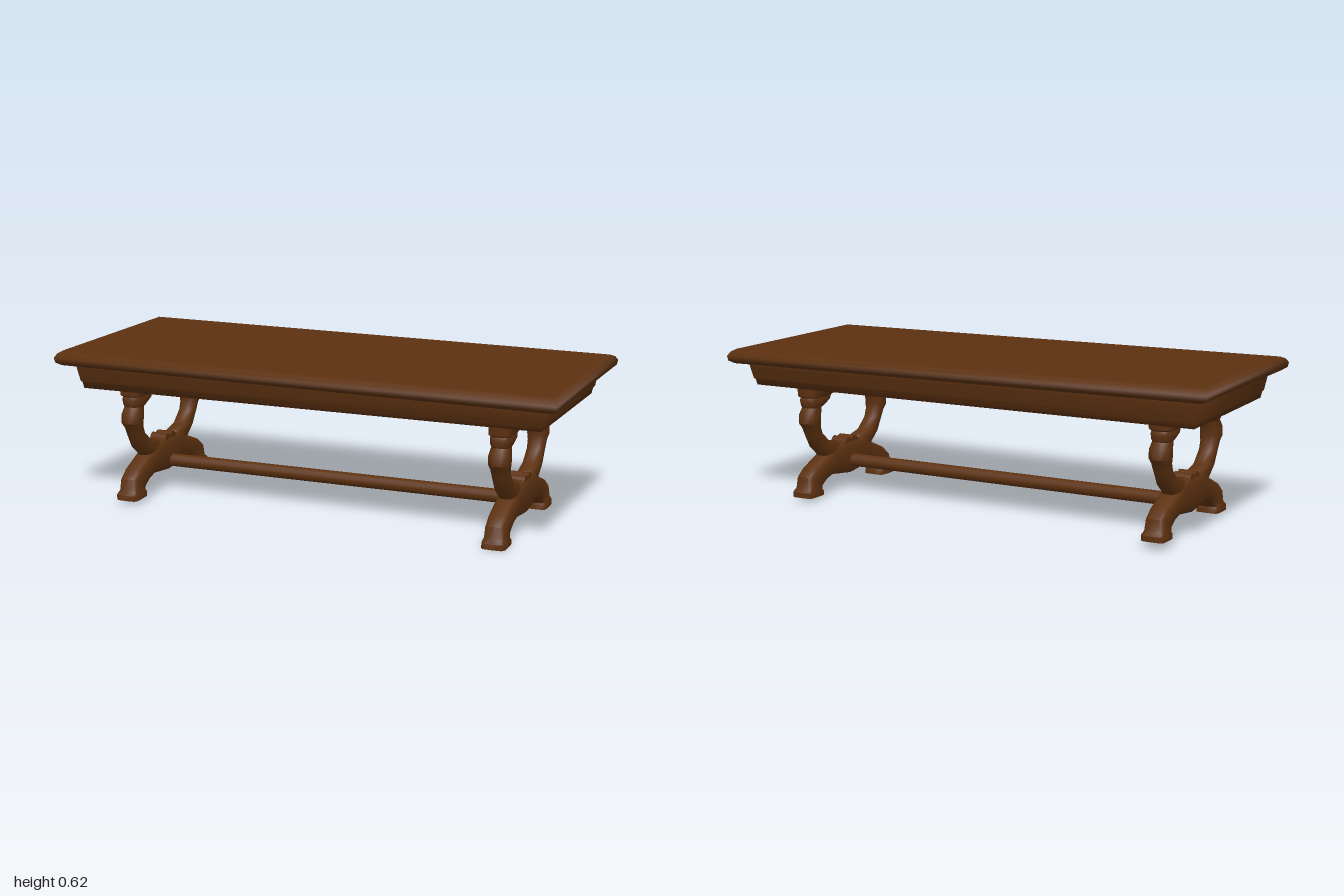
import * as THREE from 'three';
import { toCreasedNormals } from 'three/addons/utils/BufferGeometryUtils.js';

// Skin a stack of equal rings (counter-clockwise about the direction of travel) and cap both ends
function loft(rings) {
  const n = rings[0].length, last = (rings.length - 1) * n, index = [];
  for (let r = 0; r < rings.length - 1; r++) {
    for (let i = 0; i < n; i++) {
      const a = r * n + i, b = r * n + (i + 1) % n;
      index.push(a, b, b + n, a, b + n, a + n);
    }
  }
  for (let i = 1; i < n - 1; i++) {
    index.push(0, i + 1, i, last, last + i, last + i + 1);
  }
  const geo = new THREE.BufferGeometry();
  geo.setAttribute('position', new THREE.Float32BufferAttribute(rings.flat(2), 3));
  geo.setIndex(index);
  geo.computeVertexNormals();
  return geo;
}

// Rectangular ring for the top; tilt makes the slab lean slightly
function rectRing([hx, hz, y, tilt]) {
  return [[1, 1], [1, -1], [-1, -1], [-1, 1]].map(([sx, sz]) => {
    const x = sx * hx, z = sz * (hz + 0.004 * sx);
    return [x, y - tilt * (0.0075 * x + 0.008 * z), z];
  });
}

// Rounded-square section between an outer and an inner edge point in the z-y plane
function sectionRing([oz, oy, iz, iy, halfWidth, power]) {
  const ring = [], N = 16;
  const soft = v => Math.sign(v) * Math.pow(Math.abs(v), power);
  for (let k = 0; k < N; k++) {
    const t = (k / N) * Math.PI * 2;
    const c = soft(Math.cos(t)), s = soft(Math.sin(t));
    ring.push([halfWidth * s, (oy + iy) / 2 + c * (oy - iy) / 2, (oz + iz) / 2 + c * (oz - iz) / 2]);
  }
  return ring;
}

// Lean the lower frame so the front feet sit a little lower
function lean(geo) {
  const p = geo.attributes.position;
  for (let i = 0; i < p.count; i++) {
    const fade = THREE.MathUtils.clamp((0.46 - p.getY(i)) / 0.4, 0, 1);
    p.setY(i, p.getY(i) - 0.023 * p.getZ(i) * fade);
  }
  return toCreasedNormals(geo, 0.75);
}

// Stations: outer z, outer y, inner z, inner y, half width, corner softness
const FOOT = [
  [0.316, 0.009, 0.21, 0.009, 0.046, 0.35],
  [0.316, 0.03, 0.21, 0.025, 0.046, 0.35],
  [0.302, 0.045, 0.212, 0.034, 0.042, 0.5],
  [0.296, 0.09, 0.203, 0.043, 0.041, 0.6],
  [0.256, 0.122, 0.17, 0.062, 0.041, 0.6],
  [0.165, 0.16, 0.13, 0.073, 0.042, 0.6],
  [0.1, 0.195, 0.09, 0.067, 0.043, 0.6],
];
const HUB = [0, 0.202, 0, 0.056, 0.045, 0.6];
const ARM = [
  [0.13, 0.11, 0.03, 0.15, 0.036, 0.8],
  [0.165, 0.15, 0.07, 0.203, 0.037, 0.8],
  [0.222, 0.198, 0.13, 0.213, 0.035, 0.8],
  [0.252, 0.255, 0.185, 0.255, 0.034, 0.8],
  [0.266, 0.285, 0.2, 0.285, 0.036, 0.8],
  [0.284, 0.305, 0.202, 0.308, 0.041, 0.8],
  [0.283, 0.34, 0.199, 0.336, 0.041, 0.8],
  [0.265, 0.368, 0.188, 0.366, 0.035, 0.8],
  [0.268, 0.375, 0.18, 0.37, 0.038, 0.7],
  [0.271, 0.398, 0.138, 0.39, 0.042, 0.6],
  [0.266, 0.408, 0.128, 0.408, 0.039, 0.5],
  [0.275, 0.414, 0.118, 0.414, 0.044, 0.4],
  [0.28, 0.475, 0.118, 0.475, 0.044, 0.4],
];

export function createModel() {
  const model = new THREE.Group();
  model.name = 'trestleTable';
  const wood = new THREE.MeshStandardMaterial({ color: 0x5c3110 });
  wood.name = 'darkBrownWood';
  const add = (parent, name, geo) => {
    const mesh = new THREE.Mesh(geo, wood);
    mesh.name = name;
    parent.add(mesh);
    return mesh;
  };

  // Tabletop slab with a moulded edge: half length, half depth, height, tilt
  add(model, 'tabletop', loft([
    [0.975, 0.405, 0.556, 1], [0.994, 0.421, 0.568, 1], [0.998, 0.423, 0.586, 1],
    [0.99, 0.408, 0.602, 1], [0.975, 0.388, 0.611, 1],
  ].map(rectRing)));

  // Stepped apron with a level underside
  add(model, 'apron', loft([
    [0.92, 0.335, 0.461, 0], [0.925, 0.339, 0.484, 0.2], [0.93, 0.345, 0.49, 0.4],
    [0.938, 0.355, 0.535, 1], [0.942, 0.359, 0.562, 1],
  ].map(rectRing)));

  // One trestle at each end
  const mirrored = FOOT.map(([oz, oy, iz, iy, w, p]) => [-oz, oy, -iz, iy, w, p]).reverse();
  for (const [side, x, lift] of [['left', 0.742, 0], ['right', -0.76, 0.016]]) {
    const trestle = new THREE.Group();
    trestle.name = side + 'Trestle';
    trestle.position.set(x, lift, 0);
    add(trestle, 'feetBeam', lean(loft([...FOOT, HUB, ...mirrored].map(sectionRing))));
    for (const back of [false, true]) {
      const arm = loft(ARM.map(sectionRing));
      if (back) arm.rotateY(Math.PI);
      add(trestle, back ? 'backArm' : 'frontArm', lean(arm));
      // Small scroll on top of the hub
      const scroll = new THREE.CylinderGeometry(0.024, 0.024, 0.07, 12).rotateZ(Math.PI / 2);
      add(trestle, 'scroll', toCreasedNormals(scroll, 0.75))
        .position.set(0, 0.188, back ? -0.021 : 0.021);
    }
    model.add(trestle);
  }

  // Round stretcher joining the trestles
  const rail = new THREE.CylinderGeometry(0.026, 0.026, 1.47, 16).rotateZ(Math.PI / 2);
  add(model, 'stretcherRail', rail).position.set(-0.01, 0.114, 0);

  return model;
}
